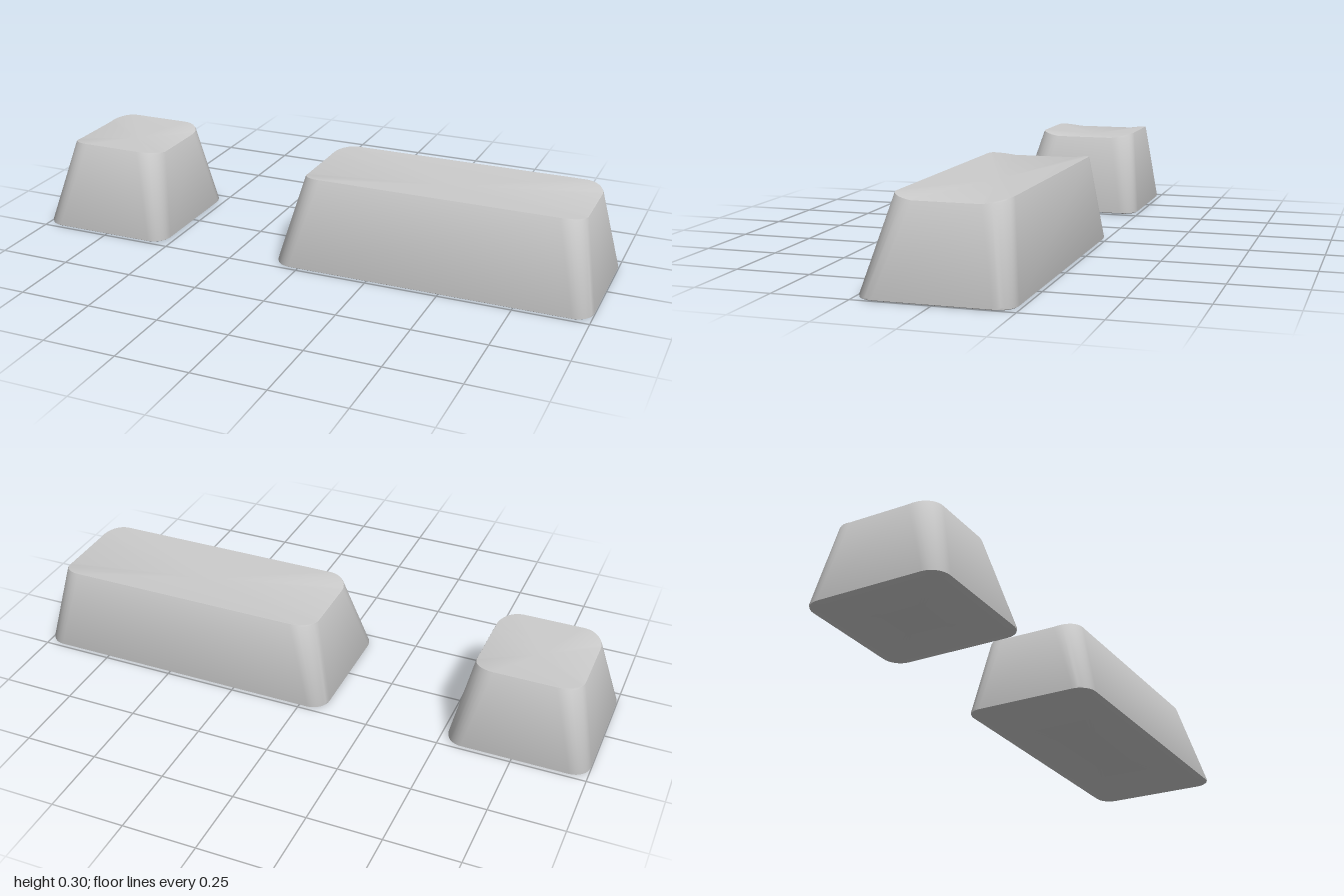
import * as THREE from 'three';
import { toCreasedNormals } from 'three/addons/utils/BufferGeometryUtils.js';

const CORNER_STEPS = 8;
const TOP_Z = -0.024, TOP_HALF = 0.178;

// Shallow dish running along x: highest at the front and back edges
const dishHeight = (z) => 0.279 + 0.021 * ((z - TOP_Z) / TOP_HALF) ** 2;

// Rounded rectangle in plan, with a height rule for y
function ring(halfX, halfZ, radius, centreZ, height) {
  const points = [];
  [[1, 1], [-1, 1], [-1, -1], [1, -1]].forEach(([sx, sz], corner) => {
    for (let i = 0; i <= CORNER_STEPS; i++) {
      const a = (corner + i / CORNER_STEPS) * Math.PI / 2;
      const x = sx * (halfX - radius) + radius * Math.cos(a);
      const z = centreZ + sz * (halfZ - radius) + radius * Math.sin(a);
      points.push([x, height(z), z]);
    }
  });
  return points;
}

// Joins rings from bottom to top and closes both ends with fans
function loft(rings, bottomCentre, topCentre) {
  const n = rings[0].length;
  const positions = [...rings.flat(), bottomCentre, topCentre].flat();
  const bottom = rings.length * n, top = bottom + 1;
  const last = (rings.length - 1) * n;
  const index = [];
  for (let i = 0; i < n; i++) {
    const j = (i + 1) % n;
    for (let r = 0; r < rings.length - 1; r++) {
      const a = r * n + i, b = r * n + j;
      index.push(a, a + n, b, b, a + n, b + n);
    }
    index.push(bottom, i, j, top, last + j, last + i);
  }
  const geometry = new THREE.BufferGeometry();
  geometry.setAttribute('position', new THREE.Float32BufferAttribute(positions, 3));
  geometry.setIndex(index);
  return toCreasedNormals(geometry, 0.7);
}

function keycap(name, centreX, halfX, material) {
  const topX = halfX - 0.061;
  const geometry = loft([
    // softened base edge
    ring(halfX - 0.006, 0.234, 0.054, 0, () => 0),
    ring(halfX - 0.001, 0.239, 0.059, 0, () => 0.003),
    ring(halfX, 0.24, 0.06, 0, () => 0.009),
    // tapered walls up to a narrow rounded rim
    ring(topX, TOP_HALF + 0.003, 0.075, TOP_Z, (z) => dishHeight(z) - 0.006),
    ring(topX - 0.002, TOP_HALF + 0.001, 0.074, TOP_Z, (z) => dishHeight(z) - 0.001),
    ring(topX - 0.006, TOP_HALF - 0.003, 0.071, TOP_Z, dishHeight),
  ], [0, 0, 0], [0, dishHeight(TOP_Z), TOP_Z]);
  const mesh = new THREE.Mesh(geometry, material);
  mesh.name = name;
  mesh.position.x = centreX;
  return mesh;
}

export function createModel() {
  const group = new THREE.Group();
  group.name = 'keycaps';
  const material = new THREE.MeshStandardMaterial({ color: 0xcccccc });
  group.add(keycap('squareKeycap', -0.76, 0.24, material));
  group.add(keycap('wideKeycap', 0.455, 0.545, material));
  return group;
}
